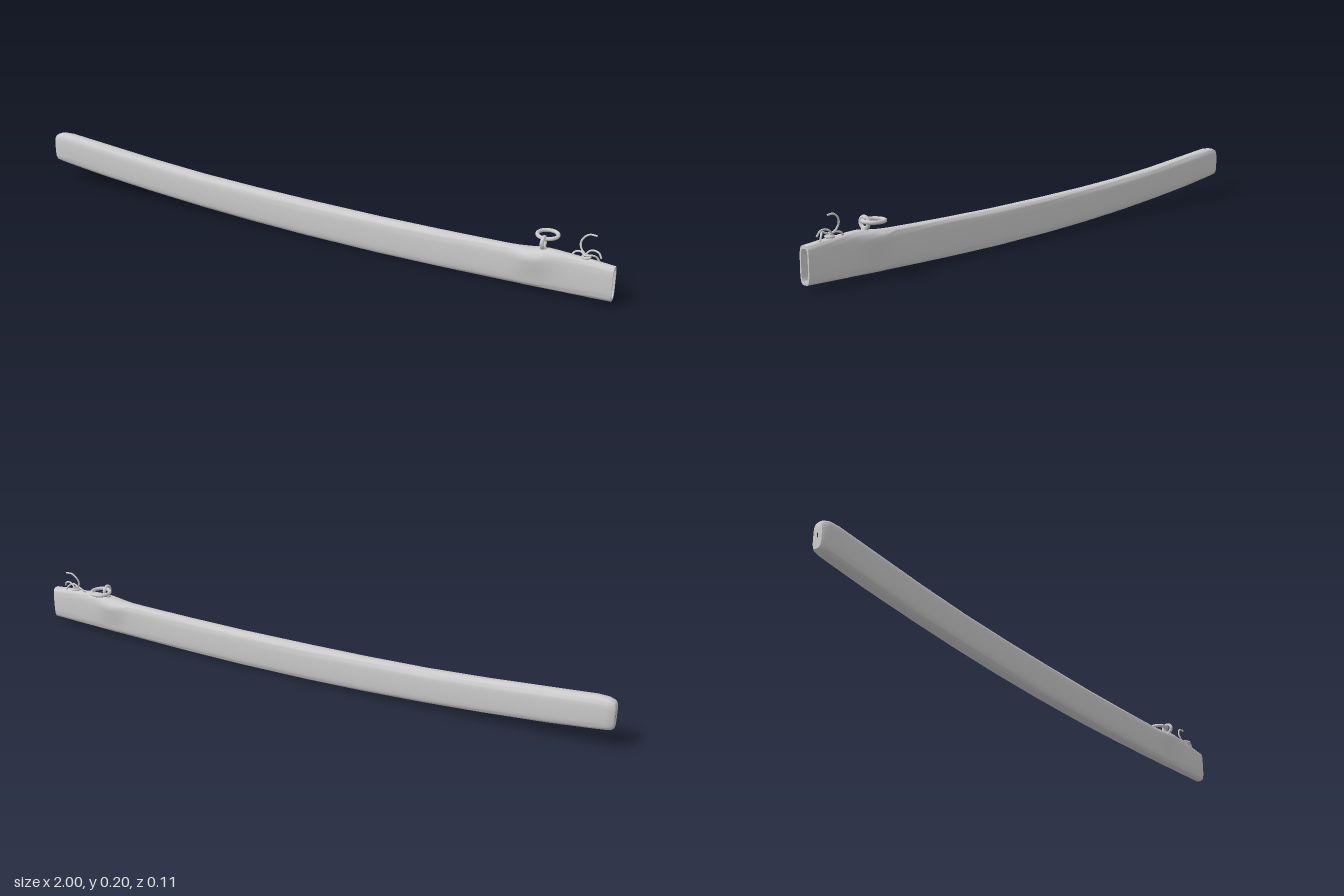
import * as THREE from 'three';
import { mergeVertices, toCreasedNormals } from 'three/addons/utils/BufferGeometryUtils.js';

const MID_Z = 0.019;
const SIDES = 28;

// Rounded-rectangle sections [x, bottom, top, halfWidth, bulge] joined into a skin
function loft(stations) {
  const pos = [], index = [];
  stations.forEach(([x, y0, y1, w, bulge = 0]) => {
    const cy = (y0 + y1) / 2, h = (y1 - y0) / 2;
    for (let j = 0; j < SIDES; j++) {
      const a = (j / SIDES) * Math.PI * 2, c = Math.cos(a), s = Math.sin(a);
      const y = cy + h * Math.sign(s) * Math.abs(s) ** 0.55;
      const swell = 1 + bulge * Math.max(0, 1 - Math.abs(y - 0.112) / 0.07);
      pos.push(x, y, MID_Z + w * swell * Math.sign(c) * Math.abs(c) ** 0.5);
    }
  });
  for (let i = 0; i < stations.length - 1; i++) {
    for (let j = 0; j < SIDES; j++) {
      const a = i * SIDES + j, b = i * SIDES + (j + 1) % SIDES;
      index.push(a, a + SIDES, b + SIDES, a, b + SIDES, b);
    }
  }
  const g = new THREE.BufferGeometry();
  g.setAttribute('position', new THREE.Float32BufferAttribute(pos, 3));
  g.setIndex(index);
  return toCreasedNormals(mergeVertices(g), 0.8);
}

export function createModel() {
  const group = new THREE.Group();
  const material = new THREE.MeshStandardMaterial({ color: 0xcccccc });

  function add(name, geometry, parent = group) {
    const mesh = new THREE.Mesh(geometry, material);
    mesh.name = name;
    parent.add(mesh);
    return mesh;
  }

  function cord(name, points, radius, parent) {
    const curve = new THREE.CatmullRomCurve3(points.map(p => new THREE.Vector3(...p)));
    add(name, new THREE.TubeGeometry(curve, 32, radius, 8), parent);
    // rounded tips
    [points[0], points[points.length - 1]].forEach(p =>
      add(name + 'Tip', new THREE.SphereGeometry(radius, 8, 6), parent).position.set(...p));
  }

  // Curved scabbard: closed tip, long body, side swelling, mouth and hollow
  const outer = [
    [-1, 0.115, 0.13, 0.002],
    [-1, 0.081, 0.16, 0.016],
    [-0.993, 0.076, 0.168, 0.021],
    [-0.975, 0.073, 0.174, 0.024],
    [-0.94, 0.069, 0.175, 0.026],
    [-0.8, 0.053, 0.163, 0.026],
    [-0.6, 0.036, 0.146, 0.026],
    [-0.4, 0.022, 0.133, 0.026],
    [-0.2, 0.012, 0.126, 0.026],
    [0, 0.006, 0.122, 0.026],
    [0.25, 0.003, 0.12, 0.025],
    [0.45, 0.005, 0.122, 0.024],
    [0.6, 0.008, 0.125, 0.023],
    [0.68, 0.01, 0.127, 0.0225, 0.05],
    [0.71, 0.011, 0.128, 0.0225, 0.3],
    [0.74, 0.011, 0.13, 0.0225, 0.6],
    [0.77, 0.012, 0.135, 0.0225, 0.62],
    [0.8, 0.013, 0.139, 0.022, 0.35],
    [0.83, 0.014, 0.139, 0.021, 0.12],
    [0.87, 0.015, 0.137, 0.0205],
    [0.94, 0.017, 0.133, 0.0195],
    [1, 0.019, 0.128, 0.0185],
  ];
  const inner = outer.slice(4).reverse().map(([x, y0, y1, w]) => [x, y0 + 0.009, y1 - 0.009, w - 0.005]);
  const floor = [[-0.94, 0.12, 0.123, 0.001]];
  add('scabbard', loft([...outer, ...inner, ...floor]));

  // Carrying ring hanging through an upright eye
  const fitting = new THREE.Group();
  fitting.name = 'ringFitting';
  group.add(fitting);
  const eye = add('ringEye', new THREE.TorusGeometry(0.016, 0.006, 10, 28), fitting);
  eye.rotation.y = Math.PI / 2;
  eye.position.set(0.782, 0.157, MID_Z);
  add('eyeBase', new THREE.CylinderGeometry(0.008, 0.013, 0.014, 16), fitting)
    .position.set(0.782, 0.138, MID_Z);
  const ring = add('carryingRing', new THREE.TorusGeometry(0.031, 0.006, 10, 36), fitting);
  ring.rotation.x = Math.PI / 2;
  ring.position.set(0.782, 0.167, -0.018);

  // Thin curled hook with small cord knot at its foot
  const hook = new THREE.Group();
  hook.name = 'curledHook';
  group.add(hook);
  cord('hookCurl', [
    [0.932, 0.203, -0.002], [0.912, 0.203, -0.001], [0.895, 0.19, 0.001],
    [0.889, 0.172, 0.005], [0.896, 0.155, 0.01], [0.91, 0.145, 0.015], [0.92, 0.134, 0.018],
  ], 0.003, hook);
  cord('cordLoop', [
    [0.868, 0.136, 0.012], [0.878, 0.146, 0.008], [0.895, 0.15, 0.012],
    [0.912, 0.146, 0.024], [0.93, 0.152, 0.026], [0.942, 0.145, 0.016], [0.95, 0.132, 0.012],
  ], 0.003, hook);
  cord('cordEnd', [
    [0.905, 0.138, 0.008], [0.917, 0.155, 0.008], [0.933, 0.162, 0.012],
    [0.948, 0.158, 0.014], [0.956, 0.146, 0.017],
  ], 0.003, hook);
  const knot = add('cordKnot', new THREE.TorusGeometry(0.011, 0.004, 8, 20), hook);
  knot.rotation.x = Math.PI / 2;
  knot.position.set(0.912, 0.139, 0.016);

  return group;
}
